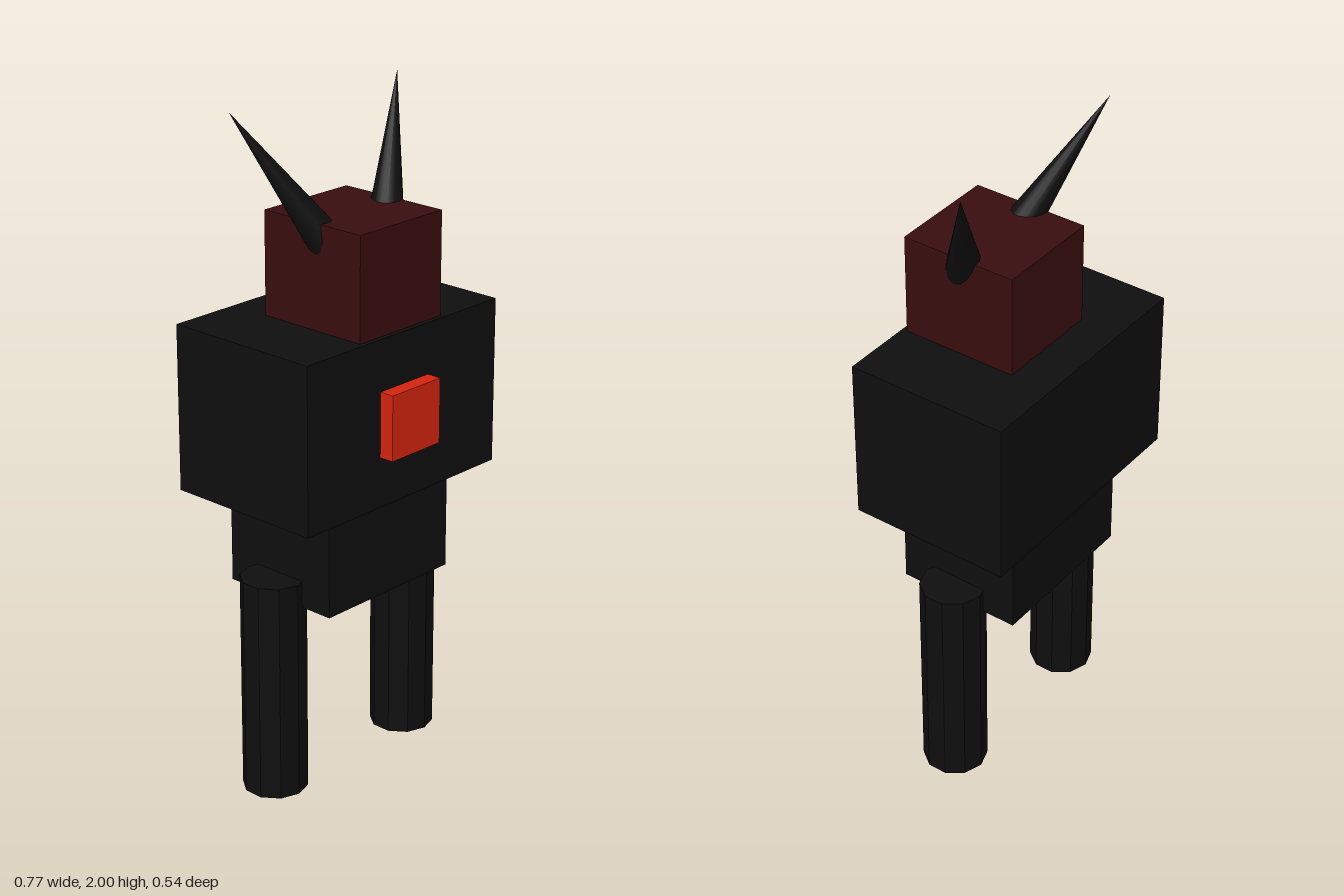
import * as THREE from 'three';

const material = (name, color) => {
  const m = new THREE.MeshStandardMaterial({ color });
  m.name = name;
  return m;
};

export function createModel() {
  const group = new THREE.Group();
  const black = material('black', 0x0e0e0e);
  const maroon = material('dark maroon', 0x380d0e);
  const red = material('red', 0xd4240f);
  // Faceted look for the legs comes from unshared face normals
  const facet = (geometry) => {
    const g = geometry.toNonIndexed();
    g.computeVertexNormals();
    return g;
  };

  const add = (name, geometry, mat, x, y, z) => {
    const mesh = new THREE.Mesh(geometry, mat);
    mesh.name = name;
    mesh.position.set(x, y, z);
    group.add(mesh);
    return mesh;
  };

  // Box given by half width, bottom, top, back and front
  const block = (name, mat, halfX, y0, y1, z0, z1) =>
    add(name, new THREE.BoxGeometry(halfX * 2, y1 - y0, z1 - z0), mat, 0, (y0 + y1) / 2, (z0 + z1) / 2);

  block('torso', black, 0.387, 0.89, 1.385, -0.273, 0.225);
  block('pelvis', black, 0.248, 0.585, 0.89, -0.212, 0.172);
  block('head', maroon, 0.165, 1.385, 1.69, -0.147, 0.21);
  block('chestPanel', red, 0.098, 1.04, 1.233, 0.225, 0.27);

  for (const side of [1, -1]) {
    const label = side > 0 ? 'left' : 'right';

    // Ten-sided leg
    const leg = facet(new THREE.CylinderGeometry(0.096, 0.096, 0.665, 10));
    add(label + 'Leg', leg, black, side * 0.275, 0.3325, -0.02);

    // Horn leaning outward and back, rooted inside the head
    const base = new THREE.Vector3(side * 0.103, 1.6, 0.055);
    const tip = new THREE.Vector3(side * 0.333, 2, -0.108);
    const axis = tip.clone().sub(base);
    const mid = base.clone().add(tip).multiplyScalar(0.5);
    const horn = add(label + 'Horn', new THREE.ConeGeometry(0.057, axis.length(), 16), black, mid.x, mid.y, mid.z);
    horn.quaternion.setFromUnitVectors(new THREE.Vector3(0, 1, 0), axis.normalize());
  }

  return group;
}
